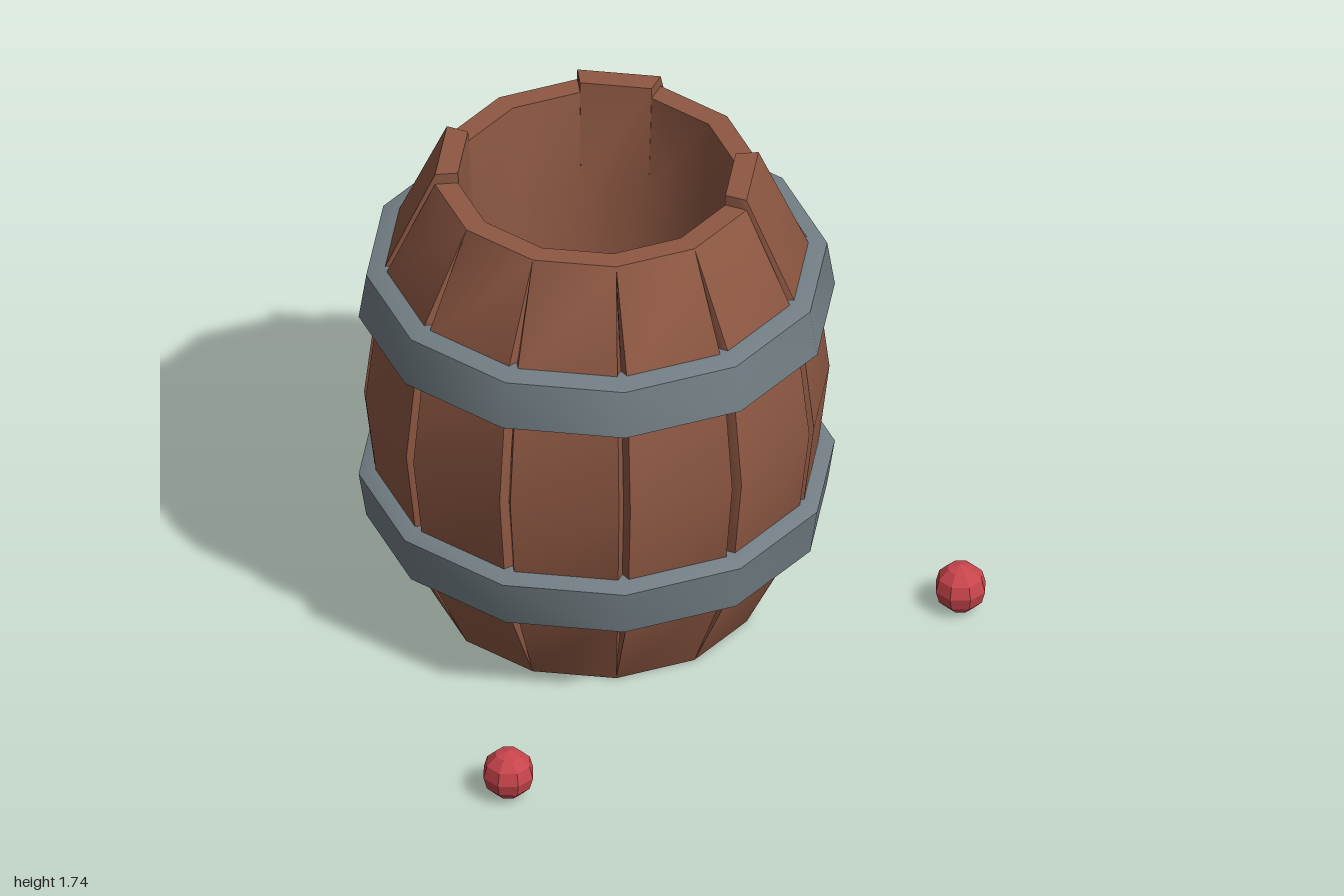
import * as THREE from 'three';
import { toCreasedNormals } from 'three/addons/utils/BufferGeometryUtils.js';

const SIDES = 12;
const STEP = (Math.PI * 2) / SIDES;
const TAN = Math.tan(STEP / 2);
const COS = Math.cos(STEP / 2);
const CREASE = 0.6;

function mat(name, color, flatShading = false) {
  const m = new THREE.MeshStandardMaterial({ color, flatShading });
  m.name = name;
  return m;
}

function addMesh(parent, name, geometry, material) {
  const mesh = new THREE.Mesh(geometry, material);
  mesh.name = name;
  parent.add(mesh);
  return mesh;
}

// All staves: six-point cross-sections lofted upward; edges pull in to leave V grooves
function stavesGeometry() {
  const pos = [];
  const raised = [2, 5, 8];
  for (let k = 0; k < SIDES; k++) {
    const a = k * STEP, s = Math.sin(a), c = Math.cos(a);
    const top = raised.includes(k) ? 1.74 : 1.7;
    // height, outer apothem, inner apothem, groove half width
    const levels = [
      [0, 0.53, 0.46, 0], [0.37, 0.71, 0.43, 0.018], [0.85, 0.765, 0.425, 0.02],
      [1.33, 0.71, 0.43, 0.018], [top, 0.53, 0.455, 0],
    ];
    const rings = levels.map(([y, r, ri, g]) => {
      const rg = r - 0.035;
      const flat = [
        [-r * TAN + g, r], [r * TAN - g, r], [rg * TAN, rg],
        [ri * TAN, ri], [-ri * TAN, ri], [-rg * TAN, rg],
      ];
      return flat.map(([t, d]) => [t * c + d * s, y, -t * s + d * c]);
    });
    const quad = (p, q, u, v) => pos.push(...p, ...q, ...u, ...p, ...u, ...v);
    for (let i = 0; i < rings.length - 1; i++) {
      const lo = rings[i], hi = rings[i + 1];
      for (let j = 0; j < 6; j++) {
        const n = (j + 1) % 6;
        quad(lo[j], lo[n], hi[n], hi[j]);
      }
    }
    const b = rings[0], t = rings[rings.length - 1];
    quad(t[0], t[1], t[3], t[4]);
    quad(b[4], b[3], b[1], b[0]);
  }
  const geo = new THREE.BufferGeometry();
  geo.setAttribute('position', new THREE.Float32BufferAttribute(pos, 3));
  geo.computeVertexNormals();
  return toCreasedNormals(geo, CREASE);
}

// Hoop tapering toward the barrel end; flip mirrors it about the barrel middle
function hoopGeometry(flip) {
  const profile = [[0.66, 0.335], [0.69, 0.335], [0.755, 0.355], [0.78, 0.525], [0.73, 0.55], [0.66, 0.55]];
  let pts = profile.map(([r, y]) => new THREE.Vector2(r / COS, flip ? 1.7 - y : y));
  if (flip) pts = pts.reverse();
  return toCreasedNormals(new THREE.LatheGeometry(pts, SIDES, STEP / 2), CREASE);
}

function discGeometry(apothem, height) {
  return new THREE.CylinderGeometry(apothem / COS, apothem / COS, height, SIDES, 1, false, STEP / 2);
}

export function createModel() {
  const model = new THREE.Group();
  model.name = 'appleBarrel';
  const wood = mat('brown wood', 0x8e5843);
  const iron = mat('grey iron', 0x727e84);
  const red = mat('apple red', 0xc8454c, true);
  const green = mat('apple green', 0x71a83a, true);
  const stemWood = mat('dark stem', 0x3a2418, true);

  // Barrel
  const barrel = new THREE.Group();
  barrel.name = 'barrel';
  barrel.position.set(-0.18, 0, -0.17);
  model.add(barrel);
  addMesh(barrel, 'staves', stavesGeometry(), wood);
  addMesh(barrel, 'lowerHoop', hoopGeometry(false), iron);
  addMesh(barrel, 'upperHoop', hoopGeometry(true), iron);
  addMesh(barrel, 'bottomPanel', discGeometry(0.455, 0.03), wood).position.y = 0.085;
  const fillY = 0.9;
  addMesh(barrel, 'appleFill', discGeometry(0.43, 0.02), red).position.y = fillY - 0.01;

  // Apples: low-poly spheres, some with a short stem
  const body = new THREE.SphereGeometry(0.09, 8, 6);
  const stem = new THREE.CylinderGeometry(0.01, 0.008, 0.03, 5);
  function addApple(name, x, y, z, material, hasStem) {
    const apple = new THREE.Group();
    apple.name = name;
    apple.position.set(x, y, z);
    addMesh(apple, 'appleBody', body, material);
    if (hasStem) {
      addMesh(apple, 'appleStem', stem, stemWood).position.y = 0.095;
      apple.rotation.set(0.05, x * 9, -0.1);
    }
    model.add(apple);
  }

  // Heap inside the barrel: x, height above the fill, z, material, stem
  const heap = [
    [-0.09, 0.05, -0.415, red, true], [-0.43, 0.07, -0.25, red, true],
    [-0.17, 0.06, -0.27, red, true], [-0.47, 0.04, -0.09, red, true],
    [-0.07, 0.07, -0.215, red, false], [-0.14, 0.02, -0.2, red, false],
    [-0.15, 0.06, 0.11, red, false], [-0.14, 0.03, 0.2, red, false],
    [-0.28, 0.03, 0.215, red, true], [-0.38, 0.04, -0.345, green, false],
    [-0.26, 0.1, -0.215, green, false], [0.07, 0.05, -0.09, green, true],
    [-0.25, 0.1, 0.105, green, false],
  ];
  for (const [x, h, z, m, s] of heap) addApple('heapedApple', x, fillY + h, z, m, s);

  // Apples on the ground
  addApple('fallenAppleLeft', 0.905, 0.09, 0.415, red, false);
  addApple('fallenAppleRight', -0.91, 0.09, 0.85, red, false);

  return model;
}
